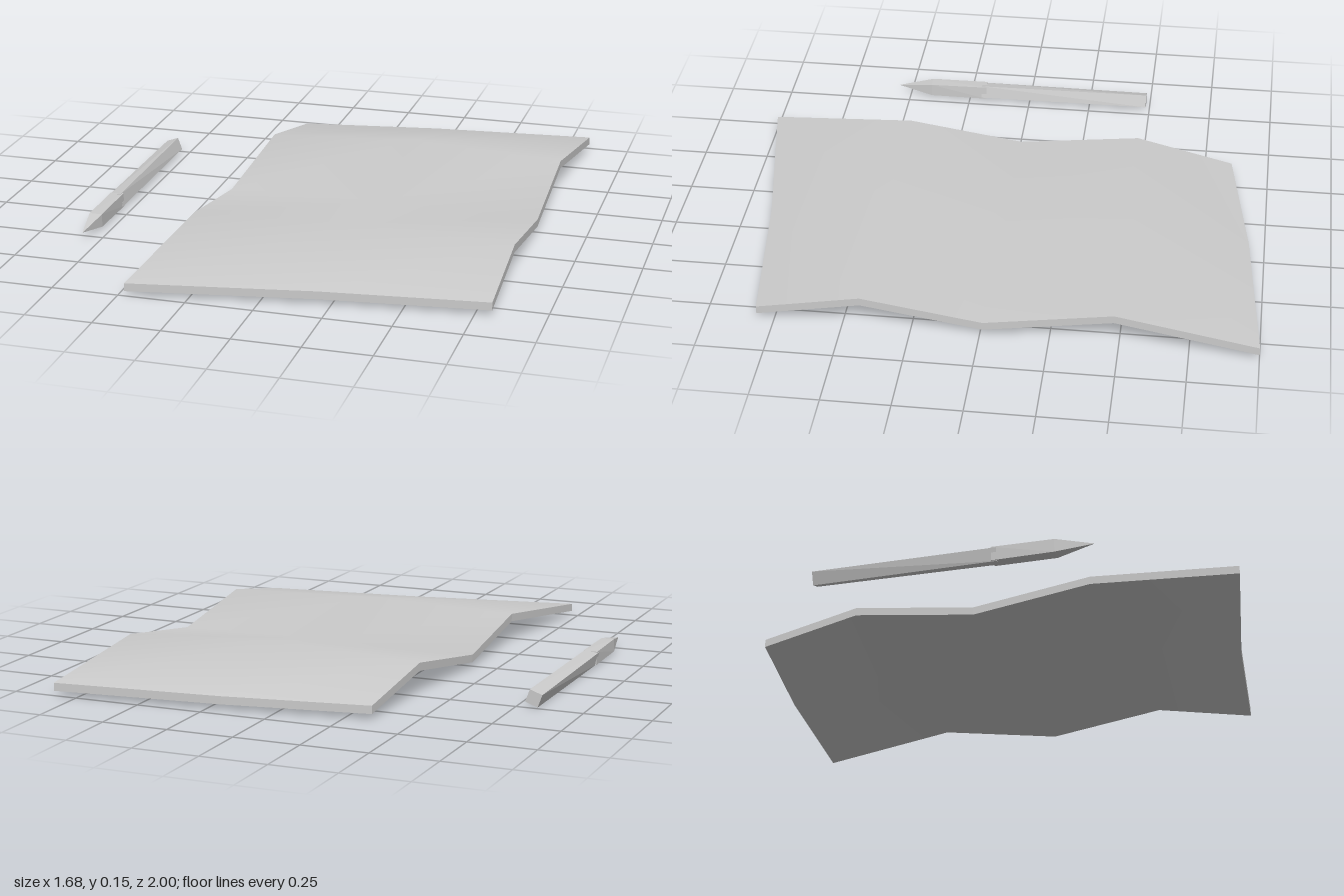
import * as THREE from 'three';

const grey = (flatShading) => new THREE.MeshStandardMaterial({ color: 0xcccccc, flatShading });

function meshOf(name, points, index, flat) {
  let g = new THREE.BufferGeometry();
  g.setAttribute('position', new THREE.Float32BufferAttribute(points.flat(), 3));
  g.setIndex(index);
  if (flat) g = g.toNonIndexed();
  g.computeVertexNormals();
  const mesh = new THREE.Mesh(g, grey(flat));
  mesh.name = name;
  return mesh;
}

// Wavy sheet: five rows from front to back, each with left, middle and right points
function createSheet() {
  const rows = [
    [[-0.475, 0.05, 1.0], [0.2, 0.05, 0.885], [0.81, 0.05, 0.815]],
    [[-0.405, 0.117, 0.435], [0.2, 0.135, 0.435], [0.81, 0.119, 0.435]],
    [[-0.405, 0.05, -0.01], [0.2, 0.058, -0.02], [0.81, 0.05, -0.01]],
    [[-0.375, 0.122, -0.48], [0.2, 0.153, -0.48], [0.81, 0.122, -0.48]],
    [[-0.345, 0.05, -0.855], [0.2, 0.05, -0.94], [0.84, 0.05, -1.0]],
  ];
  const thickness = 0.03;
  const top = rows.flat();
  const lower = ([x, y, z]) => [x, y - thickness, z];
  const up = [], down = [];
  for (let r = 0; r < 4; r++) {
    for (let c = 0; c < 2; c++) {
      const a = r * 3 + c, b = a + 1, d = a + 3, e = a + 4;
      up.push(a, b, e, a, e, d);
      down.push(a, e, b, a, d, e);
    }
  }
  // Rim, counter-clockwise seen from above
  const loop = [0, 1, 2, 5, 8, 11, 14, 13, 12, 9, 6, 3].map((i) => top[i]);
  const rim = [...loop, ...loop.map(lower)], rimIndex = [], n = loop.length;
  for (let i = 0; i < n; i++) {
    const j = (i + 1) % n;
    rimIndex.push(i, i + n, j + n, i, j + n, j);
  }
  const sheet = new THREE.Group();
  sheet.name = 'sheet';
  sheet.add(
    meshOf('sheetTop', top, up, false),
    meshOf('sheetUnderside', top.map(lower), down, false),
    meshOf('sheetEdge', rim, rimIndex, true),
  );
  return sheet;
}

// Square bar along z, lofted through sections [z, side, twist in degrees], back to front
function squareBar(name, sections) {
  const points = [], index = [];
  for (const [z, side, twist] of sections) {
    for (let k = 0; k < 4; k++) {
      const a = THREE.MathUtils.degToRad(45 + 90 * k + twist), r = side * Math.SQRT1_2;
      points.push([r * Math.cos(a), r * Math.sin(a), z]);
    }
  }
  for (let s = 0; s < sections.length - 1; s++) {
    for (let k = 0; k < 4; k++) {
      const a = s * 4 + k, b = s * 4 + (k + 1) % 4;
      index.push(a, b, b + 4, a, b + 4, a + 4);
    }
  }
  const f = (sections.length - 1) * 4;
  index.push(0, 2, 1, 0, 3, 2, f, f + 1, f + 2, f, f + 2, f + 3);
  return meshOf(name, points, index, true);
}

// Writing stick with a twisted shaft, a straight grip and a pyramid point
function createPencil() {
  const pencil = new THREE.Group();
  pencil.name = 'pencil';
  const point = new THREE.ConeGeometry(0.05 * Math.SQRT1_2, 0.14, 4, 1, true);
  point.rotateY(Math.PI / 4).rotateX(Math.PI / 2).translate(0, 0, 0.48);
  const tip = new THREE.Mesh(point, grey(true));
  tip.name = 'pencilTip';
  pencil.add(
    squareBar('pencilShaft', [[-0.485, 0.05, 20], [0.2, 0.05, 12]]),
    squareBar('pencilGrip', [[0.18, 0.052, 3], [0.41, 0.05, 0]]),
    tip,
  );
  pencil.position.set(-0.811, 0.034, 0);
  return pencil;
}

export function createModel() {
  const model = new THREE.Group();
  model.name = 'sheetAndPencil';
  model.add(createSheet(), createPencil());
  return model;
}
